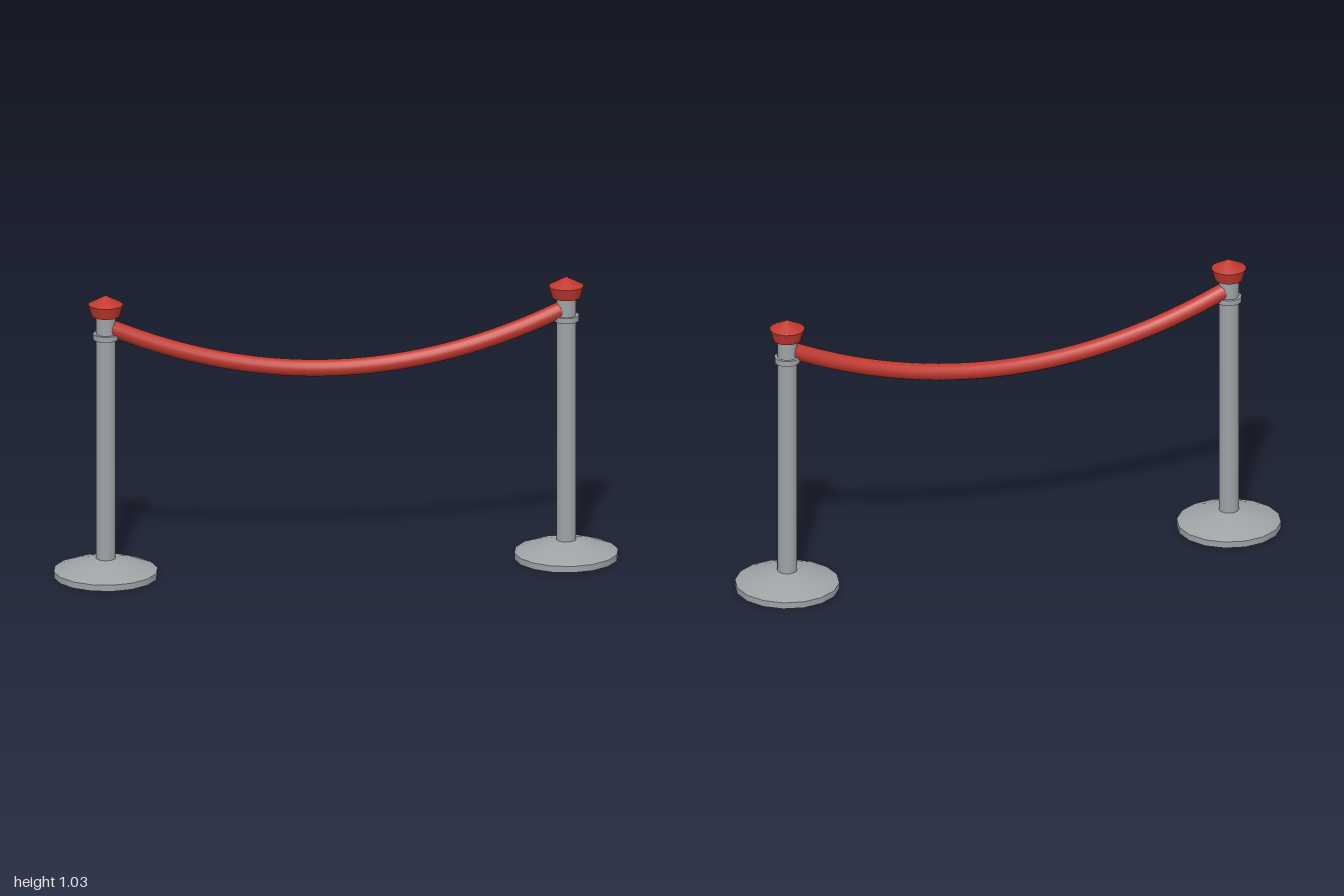
import * as THREE from 'three';

const metal = new THREE.MeshStandardMaterial({ color: 0x9ea3a6 });
metal.name = 'greyMetal';
const red = new THREE.MeshStandardMaterial({ color: 0xc0392f });
red.name = 'redVelvet';

const SIDES = 16;
const POST_X = 0.816;

function add(parent, name, geometry, material, y = 0) {
  const mesh = new THREE.Mesh(geometry, material);
  mesh.name = name;
  mesh.position.y = y;
  parent.add(mesh);
  return mesh;
}

// Upright tapered drum between two heights
function drum(parent, name, rBottom, rTop, y0, y1, material, open = false) {
  const g = new THREE.CylinderGeometry(rTop, rBottom, y1 - y0, SIDES, 1, open);
  return add(parent, name, g, material, (y0 + y1) / 2);
}

function makePost(name, x) {
  const post = new THREE.Group();
  post.name = name;
  post.position.x = x;

  // Weighted foot: short rim with a shallow dome above
  drum(post, 'baseRim', 0.184, 0.184, 0, 0.023, metal);
  const dome = [[0.184, 0.023], [0.128, 0.044], [0.045, 0.066], [0, 0.067]]
    .map(([r, y]) => new THREE.Vector2(r, y));
  add(post, 'baseDome', new THREE.LatheGeometry(dome, SIDES), metal);

  // Pole with its collar ring
  drum(post, 'pole', 0.035, 0.035, 0.06, 0.962, metal);
  drum(post, 'collar', 0.045, 0.045, 0.872, 0.892, metal);

  // Flared cap with a low conical top
  drum(post, 'capFlare', 0.05, 0.062, 0.958, 1.0, red);
  drum(post, 'capTop', 0.062, 0, 1.0, 1.033, red, true);
  return post;
}

// Hanging rope with closed ends
function makeRope() {
  const rope = new THREE.Group();
  rope.name = 'rope';
  const end = 0.798, low = 0.733, sag = 0.18, radius = 0.03;
  const points = [];
  for (let i = 0; i <= 16; i++) {
    const t = i / 8 - 1;
    points.push(new THREE.Vector3(t * end, low + sag * t * t, 0));
  }
  const curve = new THREE.CatmullRomCurve3(points);
  add(rope, 'ropeBody', new THREE.TubeGeometry(curve, 32, radius, SIDES), red);
  for (const t of [0, 1]) {
    const outward = curve.getTangentAt(t).multiplyScalar(t ? 1 : -1);
    const cap = add(rope, 'ropeEnd', new THREE.CircleGeometry(radius, SIDES), red);
    cap.position.copy(curve.getPointAt(t));
    cap.quaternion.setFromUnitVectors(new THREE.Vector3(0, 0, 1), outward);
  }
  return rope;
}

export function createModel() {
  const model = new THREE.Group();
  model.name = 'ropeBarrier';
  model.add(makePost('leftPost', POST_X), makePost('rightPost', -POST_X), makeRope());
  return model;
}
